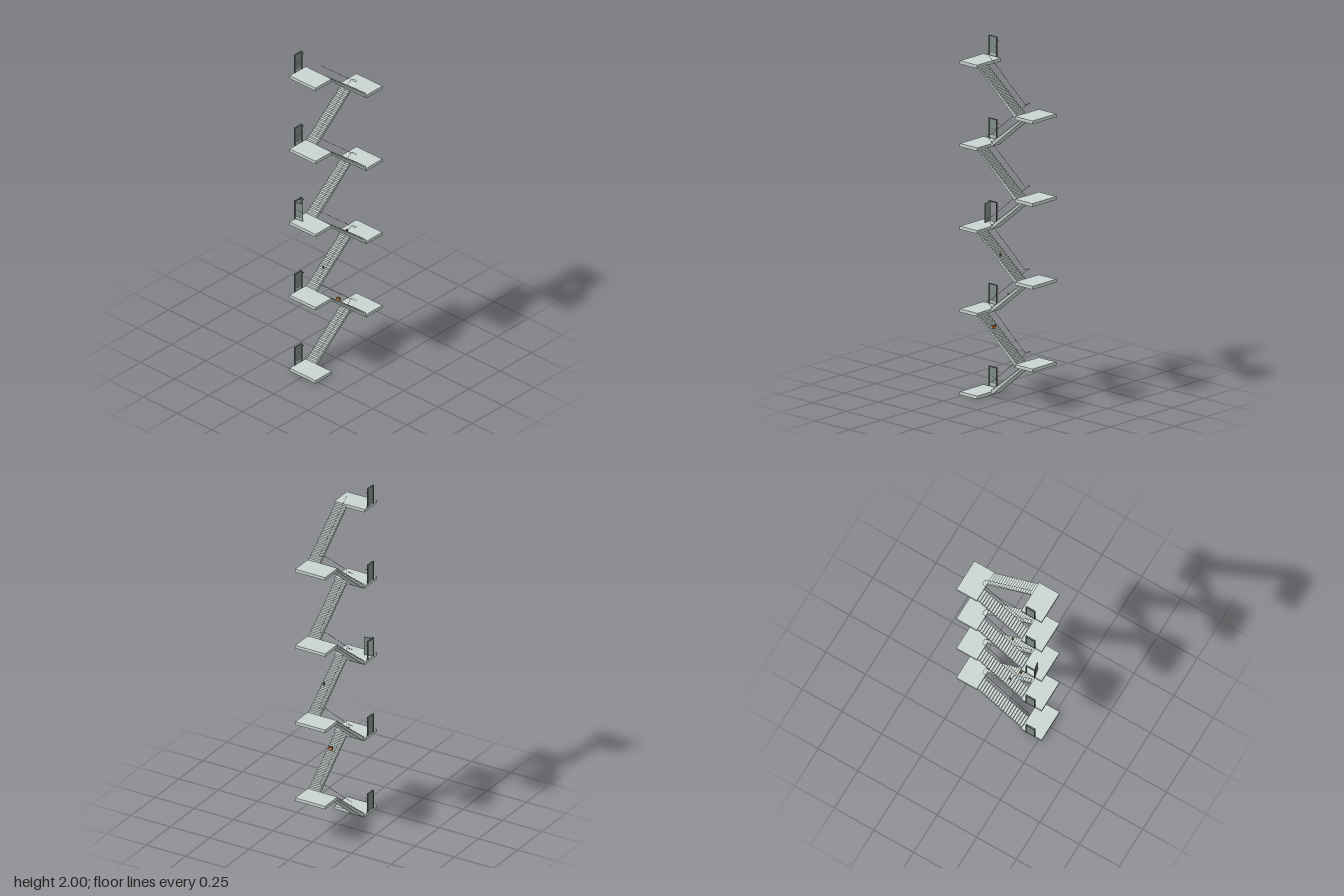
import * as THREE from 'three';

const mat = (name, color) => {
  const m = new THREE.MeshStandardMaterial({ color });
  m.name = name;
  return m;
};
const concrete = mat('concrete', 0xc9d4d1);
const railMetal = mat('rail metal', 0x636d6b);
const doorPaint = mat('door paint', 0x7f8c88);
const framePaint = mat('frame paint', 0x5f6a67);
const plate = mat('steel plate', 0xb4bebb);
const orange = mat('orange', 0xd07c32);
const brown = mat('brown', 0x7a5230);

const STOREY = 0.4675, RISE = STOREY / 2, SLAB = 0.018;
const EDGE = 0.14, END = 0.269, STEPS = 19;
const RAIL_UP = 0.053, RAIL_Z = 0.017, RAIL_R = 0.001;
const MID_Z = 0.002;

function add(parent, name, geometry, material, x = 0, y = 0, z = 0) {
  const mesh = new THREE.Mesh(geometry, material);
  mesh.name = name;
  mesh.position.set(x, y, z);
  parent.add(mesh);
  return mesh;
}
const box = (parent, name, material, w, h, d, x, y, z) =>
  add(parent, name, new THREE.BoxGeometry(w, h, d), material, x, y, z);

// Sawtooth slab climbing towards +x on the back side
function flightGeometry() {
  const s = new THREE.Shape();
  const run = (2 * EDGE) / STEPS, rise = RISE / (STEPS + 1);
  s.moveTo(-EDGE, -SLAB);
  s.lineTo(EDGE, RISE - SLAB);
  s.lineTo(EDGE, RISE - rise);
  for (let i = STEPS - 1; i >= 0; i--) {
    s.lineTo(-EDGE + i * run, (i + 1) * rise);
    s.lineTo(-EDGE + i * run, i * rise);
  }
  const g = new THREE.ExtrudeGeometry(s, { depth: 0.071, bevelEnabled: false });
  g.translate(0, 0, -0.088);
  return g;
}

// Straight handrail above the inner edge of a flight
function railGeometry() {
  const path = new THREE.LineCurve3(
    new THREE.Vector3(-EDGE, RAIL_UP, -RAIL_Z),
    new THREE.Vector3(EDGE, RISE + RAIL_UP, -RAIL_Z));
  return new THREE.TubeGeometry(path, 1, RAIL_R, 6);
}

// Handrail turn from one flight to the next
function turnGeometry(reach) {
  const V = (x, z) => new THREE.Vector3(x, 0, z);
  const r = reach * 0.85;
  const path = new THREE.CurvePath();
  path.add(new THREE.QuadraticBezierCurve3(V(EDGE, -RAIL_Z), V(EDGE + reach, -RAIL_Z), V(EDGE + reach, -RAIL_Z + r)));
  path.add(new THREE.LineCurve3(V(EDGE + reach, -RAIL_Z + r), V(EDGE + reach, RAIL_Z - r)));
  path.add(new THREE.QuadraticBezierCurve3(V(EDGE + reach, RAIL_Z - r), V(EDGE + reach, RAIL_Z), V(EDGE, RAIL_Z)));
  return new THREE.TubeGeometry(path, 18, RAIL_R, 6);
}

// Door with its frame; the leaf hangs on the -x jamb
function makeDoor(open) {
  const door = new THREE.Group();
  door.name = 'door';
  const W = 0.058, H = 0.113, T = 0.004;
  for (const side of [-1, 1])
    box(door, 'doorJamb', framePaint, T, H, 0.009, side * (W - T) / 2, H / 2, 0);
  box(door, 'doorHead', framePaint, W - 2 * T, T, 0.009, 0, H - T / 2, 0);

  const leaf = new THREE.Group();
  leaf.name = 'doorLeaf';
  const w = W - 2 * T, h = H - T;
  box(leaf, 'leafPanel', doorPaint, w, h, 0.004, w / 2, h / 2, 0);
  box(leaf, 'kickPlate', plate, w * 0.84, 0.014, 0.001, w / 2, 0.012, 0.0024);
  box(leaf, 'pushBar', plate, w * 0.76, 0.004, 0.002, w / 2, 0.054, 0.003);
  leaf.position.x = -W / 2 + T;
  if (open) leaf.rotation.y = -1.37;
  door.add(leaf);
  return door;
}

export function createModel() {
  const model = new THREE.Group();
  model.name = 'stairwell';
  const flight = flightGeometry(), rail = railGeometry();
  const rightTurn = turnGeometry(0.013), leftTurn = turnGeometry(0.004);
  const slab = new THREE.BoxGeometry(END - EDGE, SLAB, 0.19);
  const midX = (END + EDGE) / 2;

  // Landings, doors and wall buttons on every floor
  for (let i = 0; i < 5; i++) {
    const y = SLAB + i * STOREY;
    add(model, 'floorLanding', slab, concrete, -midX, y - SLAB / 2, MID_Z);
    const door = makeDoor(i === 2);
    door.position.set(-0.199, y, -0.0945);
    model.add(door);
    box(model, 'wallButton', framePaint, 0.003, 0.005, 0.002, -0.157, y + 0.093, -0.093);
    if (i > 0 && i < 4)
      add(model, 'floorRailTurn', leftTurn, railMetal, 0, y + RAIL_UP, MID_Z).rotation.y = Math.PI;
  }

  // Two flights and a half landing per storey
  for (let i = 0; i < 4; i++) {
    const y = SLAB + i * STOREY;
    add(model, 'halfLanding', slab, concrete, midX, y + RISE - SLAB / 2, MID_Z);
    add(model, 'halfRailTurn', rightTurn, railMetal, 0, y + RISE + RAIL_UP, MID_Z);
    for (const k of [0, 1]) {
      add(model, 'stairFlight', flight, concrete, 0, y + k * RISE, MID_Z).rotation.y = k * Math.PI;
      add(model, 'handrail', rail, railMetal, 0, y + k * RISE, MID_Z).rotation.y = k * Math.PI;
    }
  }

  // Small things left on the steps
  box(model, 'crate', orange, 0.013, 0.016, 0.02, -0.047, 0.421, 0.063);
  box(model, 'crateLid', brown, 0.014, 0.003, 0.021, -0.047, 0.4305, 0.063);
  box(model, 'parcel', brown, 0.009, 0.011, 0.009, 0.01, 0.84, 0.073);
  add(model, 'parcelTop', new THREE.SphereGeometry(0.004, 10, 8), orange, 0.01, 0.848, 0.073);
  add(model, 'can', new THREE.CylinderGeometry(0.004, 0.005, 0.016, 10), framePaint, -0.045, 0.579, -0.05);

  return model;
}
